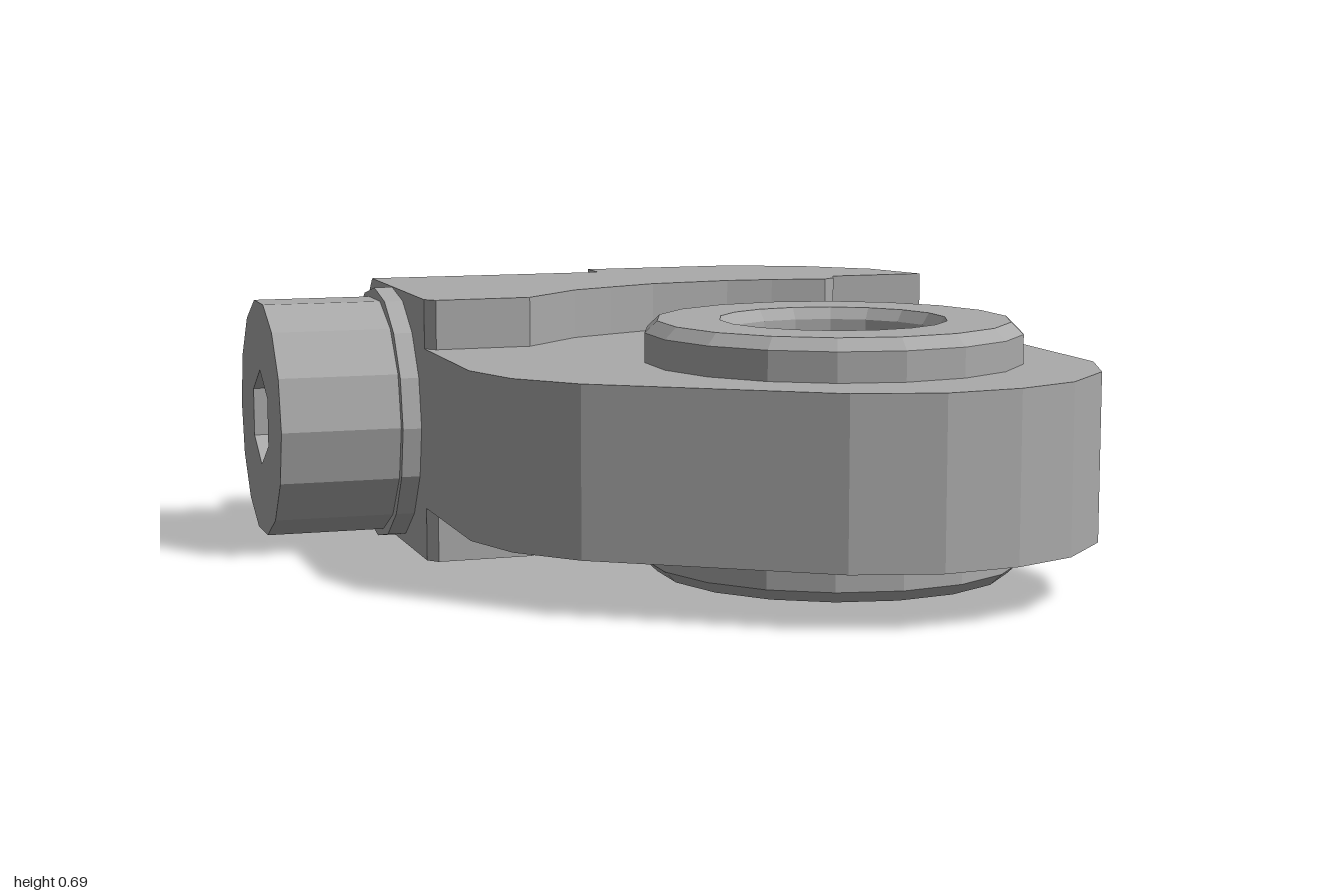
import * as THREE from 'three';

const H = 0.695;                       // full height of the thick block
const EYE = [0.345, 0.305];            // centre of the bushing (x, z)
const steel = new THREE.MeshStandardMaterial({ color: 0xaaaaaa });
steel.name = 'grey steel';
steel.flatShading = true;

// Step line between the thick block and the thin plate, as [x, z]
const step = [[-0.59, -0.24], [-0.565, -0.21], [-0.31, -0.215], [-0.14, -0.38], [-0.02, -0.435],
  [0.12, -0.495], [0.35, -0.525], [0.48, -0.515], [0.63, -0.485], [0.665, -0.51], [0.685, -0.565], [0.955, -0.565]];
// Rounded rear corner, from the +x side round to the back
const corner = [[0.88, -0.76], [0.71, -0.92], [0.5, -1]];
// Rounded nose of the plate
const nose = [[0.955, 0.55], [0.88, 0.745], [0.73, 0.9], [0.56, 0.972], [0.36, 0.997], [0.14, 0.94],
  [-0.4, 0.58], [-0.53, 0.43], [-0.59, 0.25]];

function ngon(n, r, cx = 0, cy = 0, turn = 0) {
  return Array.from({ length: n }, (_, i) => {
    const a = turn + (i / n) * Math.PI * 2;
    return new THREE.Vector2(cx + r * Math.cos(a), cy + r * Math.sin(a));
  });
}

function part(name, geometry) {
  const mesh = new THREE.Mesh(geometry, steel);
  mesh.name = name;
  return mesh;
}

// Extrudes an [x, z] outline upward from y0 to y1
function slab(name, outline, y0, y1, hole) {
  const shape = new THREE.Shape(outline.map(([x, z]) => new THREE.Vector2(x, -z)));
  if (hole) shape.holes.push(new THREE.Path(hole));
  const g = new THREE.ExtrudeGeometry(shape, { depth: y1 - y0, bevelEnabled: false });
  g.rotateX(-Math.PI / 2).translate(0, y0, 0);
  return part(name, g);
}

// Triangular prism forming the sloped rear edge, between x = -0.59 and 0.08
function chamfer(name, yInner, yOuter) {
  const tri = new THREE.Shape([[1, yInner], [0.9, yInner], [0.9, yOuter]].map(([z, y]) => new THREE.Vector2(z, y)));
  const g = new THREE.ExtrudeGeometry(tri, { depth: 0.67, bevelEnabled: false });
  g.rotateY(Math.PI / 2).translate(-0.59, 0, 0);
  return part(name, g);
}

export function createModel() {
  const model = new THREE.Group();
  model.name = 'clampLever';

  // Thick rear block with notched, chamfered upper and lower rear edges
  const block = new THREE.Group();
  block.name = 'rearBlock';
  const c = 0.1;
  const notched = [...step, ...corner, [0.08, -1], [0.08, -0.9], [-0.59, -0.9]];
  block.add(
    slab('blockMiddle', [...step, ...corner, [-0.59, -1]], c, H - c),
    slab('blockTop', notched, H - c, H),
    slab('blockBottom', notched, 0, c),
    chamfer('upperChamfer', H - c, H),
    chamfer('lowerChamfer', c, 0)
  );
  model.add(block);

  // Thin plate in front of the step line
  model.add(slab('plate', [...step, ...nose], 0.14, 0.565, ngon(16, 0.38, EYE[0], -EYE[1])));

  // Bushing ring with bevelled rims and a through bore
  const profile = [[0.27, 0.06], [0.29, 0.03], [0.45, 0.03], [0.482, 0.06], [0.482, 0.64],
    [0.45, 0.67], [0.29, 0.67], [0.27, 0.64], [0.27, 0.06]].map(([r, y]) => new THREE.Vector2(r, y));
  const bushing = part('bushing', new THREE.LatheGeometry(profile, 18));
  bushing.position.set(EYE[0], 0, EYE[1]);
  model.add(bushing);

  // Socket-head screw pointing out of the -x side
  const screw = new THREE.Group();
  screw.name = 'screw';
  const headShape = new THREE.Shape(ngon(14, 0.323));
  headShape.holes.push(new THREE.Path(ngon(6, 0.13, 0, 0, Math.PI / 2)));
  const head = part('screwHead', new THREE.ExtrudeGeometry(headShape, { depth: 0.33, bevelEnabled: false }));
  head.position.z = 0.63;
  const floor = part('socketFloor', new THREE.ShapeGeometry(new THREE.Shape(ngon(6, 0.135, 0, 0, Math.PI / 2))));
  floor.position.z = 0.76;
  const collar = part('collar', new THREE.CylinderGeometry(0.346, 0.346, 0.06, 16).rotateX(Math.PI / 2));
  collar.position.z = 0.61;
  screw.add(head, floor, collar);
  screw.rotation.y = -Math.PI / 2;
  screw.position.set(0, H / 2, -0.632);
  model.add(screw);

  return model;
}
